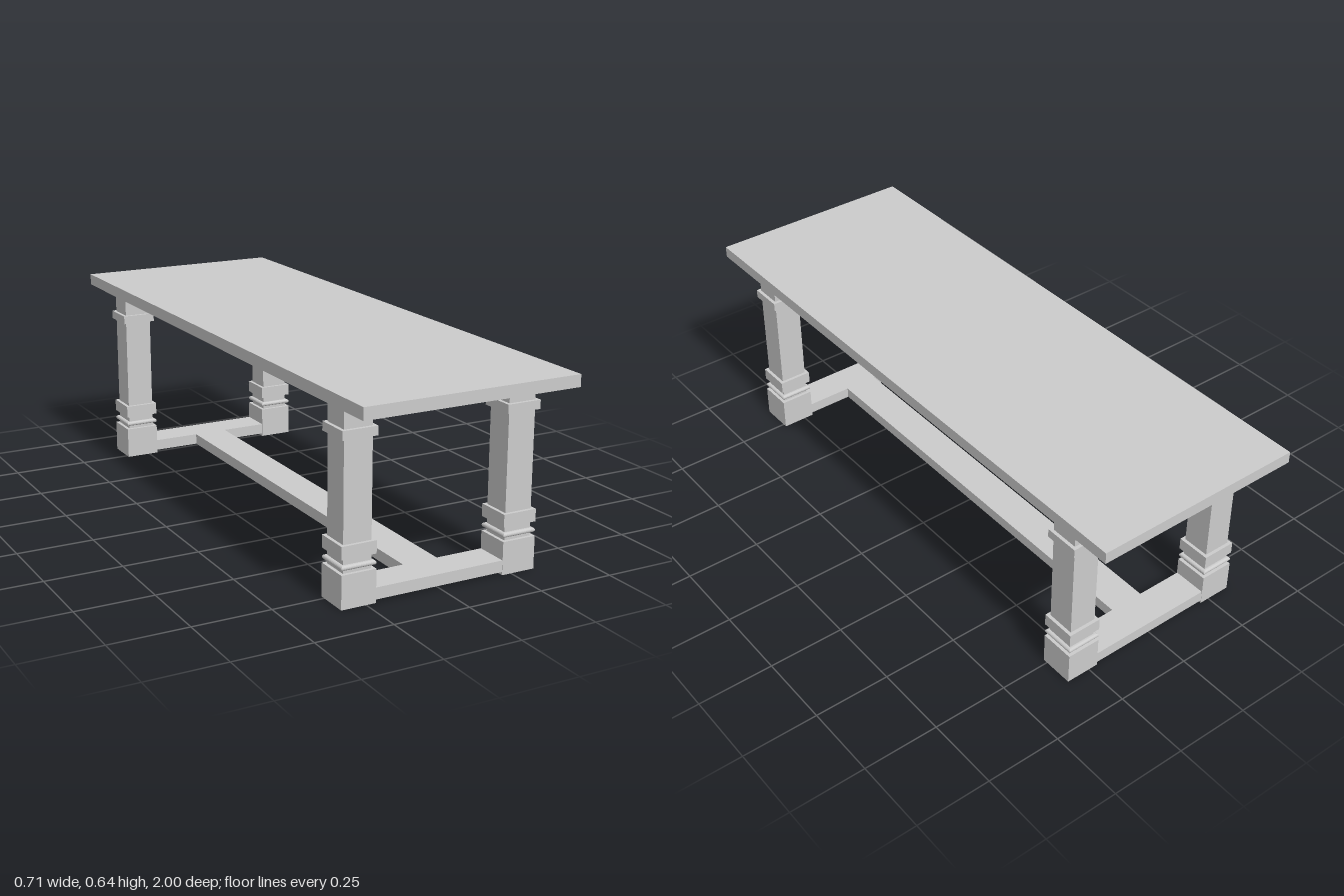
import * as THREE from 'three';

const material = new THREE.MeshStandardMaterial({ color: 0xcccccc, flatShading: true });

// Box from its base height y0 to y1, centred on x and z
function box(name, w, y0, y1, d, x = 0, z = 0) {
  const mesh = new THREE.Mesh(new THREE.BoxGeometry(w, y1 - y0, d), material);
  mesh.name = name;
  mesh.position.set(x, (y0 + y1) / 2, z);
  return mesh;
}

// Square moulding with a half-round edge
function squareBead(half, y0, y1) {
  const r = (y1 - y0) / 2, steps = 8;
  const points = [new THREE.Vector2(0, y0)];
  for (let i = 0; i <= steps; i++) {
    const a = -Math.PI / 2 + (Math.PI * i) / steps;
    points.push(new THREE.Vector2((half - r + r * Math.cos(a)) * Math.SQRT2, y0 + r + r * Math.sin(a)));
  }
  points.push(new THREE.Vector2(0, y1));
  const mesh = new THREE.Mesh(new THREE.LatheGeometry(points, 4, Math.PI / 4), material);
  mesh.name = 'legBead';
  return mesh;
}

function createLeg() {
  const leg = new THREE.Group();
  leg.name = 'leg';
  leg.add(
    box('legFoot', 0.114, 0, 0.105, 0.114),
    box('legShaft', 0.092, 0.105, 0.6, 0.092),
    squareBead(0.057, 0.116, 0.131),
    box('lowerCollar', 0.114, 0.151, 0.191, 0.114),
    box('upperCollar', 0.114, 0.5, 0.528, 0.114)
  );
  return leg;
}

export function createModel() {
  const table = new THREE.Group();
  table.name = 'table';
  const legX = 0.275, legZ = 0.792;

  table.add(box('tableTop', 0.71, 0.6, 0.638, 2));

  // Legs and the cross stretcher joining each pair
  for (const sz of [-1, 1]) {
    for (const sx of [-1, 1]) {
      const leg = createLeg();
      leg.position.set(sx * legX, 0, sz * legZ);
      table.add(leg);
    }
    table.add(box('endStretcher', 2 * legX - 0.114, 0.01, 0.047, 0.112, 0, sz * legZ));
  }

  // Long stretcher between the two ends
  table.add(box('longStretcher', 0.118, 0.01, 0.047, 2 * legZ - 0.112));
  return table;
}
